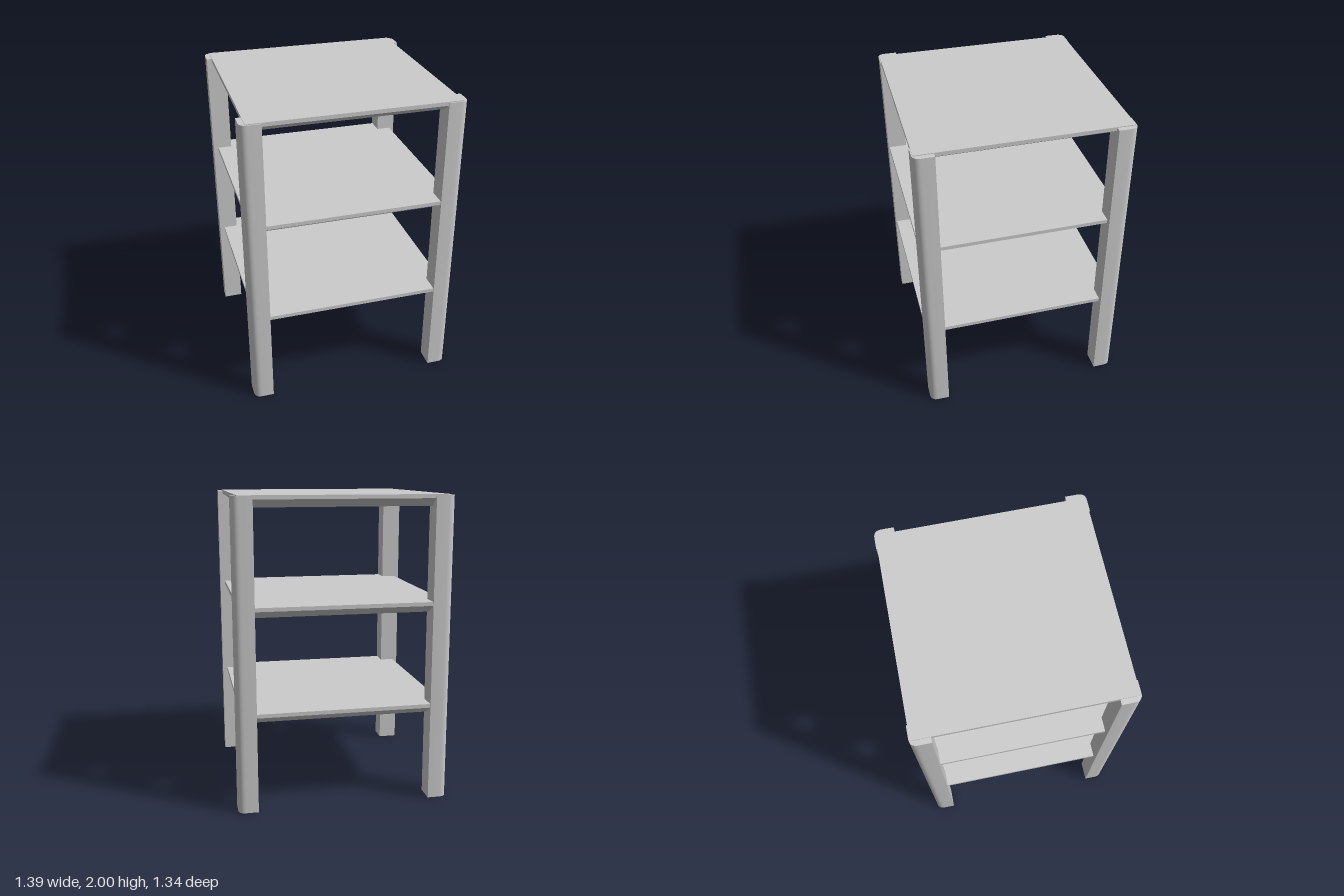
import * as THREE from 'three';
import { toCreasedNormals } from 'three/addons/utils/BufferGeometryUtils.js';

const material = new THREE.MeshStandardMaterial({ color: 0xcccccc });

// Square post with its outer corner rounded; sx, sz choose the corner
function makeLeg(sx, sz) {
  const x0 = 0.567, x1 = 0.695, z0 = 0.541, z1 = 0.668, r = 0.05;
  const px = (x) => x * sx;
  const py = (z) => -z * sz; // shape y becomes -z once stood upright
  const shape = new THREE.Shape();
  shape.moveTo(px(x0), py(z0));
  shape.lineTo(px(x1), py(z0));
  shape.lineTo(px(x1), py(z1 - r));
  shape.quadraticCurveTo(px(x1), py(z1), px(x1 - r), py(z1));
  shape.lineTo(px(x0), py(z1));
  shape.closePath();
  const geometry = new THREE.ExtrudeGeometry(shape, {
    depth: 1.995, bevelEnabled: false, curveSegments: 8,
  });
  geometry.rotateX(-Math.PI / 2);
  return new THREE.Mesh(toCreasedNormals(geometry, 0.6), material);
}

// Square board with a thin upright lip and an undercut bevel below it
function makeShelf(top) {
  const half = 0.661, lip = 0.025, thickness = 0.075, inset = 0.075;
  const box = new THREE.BoxGeometry(half * 2, 2, half * 2, 1, 2, 1);
  const p = box.attributes.position;
  for (let i = 0; i < p.count; i++) {
    const level = Math.round(p.getY(i)); // 1 top, 0 lip bottom, -1 underside
    p.setY(i, top - (level === 1 ? 0 : level === 0 ? lip : thickness));
    if (level === -1) {
      p.setX(i, Math.sign(p.getX(i)) * (half - inset));
      p.setZ(i, Math.sign(p.getZ(i)) * (half - inset));
    }
  }
  const geometry = box.toNonIndexed();
  geometry.computeVertexNormals();
  return new THREE.Mesh(geometry, material);
}

export function createModel() {
  const model = new THREE.Group();
  model.name = 'shelfUnit';

  // Four corner posts
  for (const sx of [-1, 1]) {
    for (const sz of [-1, 1]) {
      const leg = makeLeg(sx, sz);
      leg.name = (sz > 0 ? 'front' : 'back') + (sx > 0 ? 'Left' : 'Right') + 'Leg';
      model.add(leg);
    }
  }

  // Three boards
  const shelves = [['bottomShelf', 0.652], ['middleShelf', 1.327], ['topShelf', 2]];
  for (const [name, top] of shelves) {
    const shelf = makeShelf(top);
    shelf.name = name;
    model.add(shelf);
  }
  return model;
}
